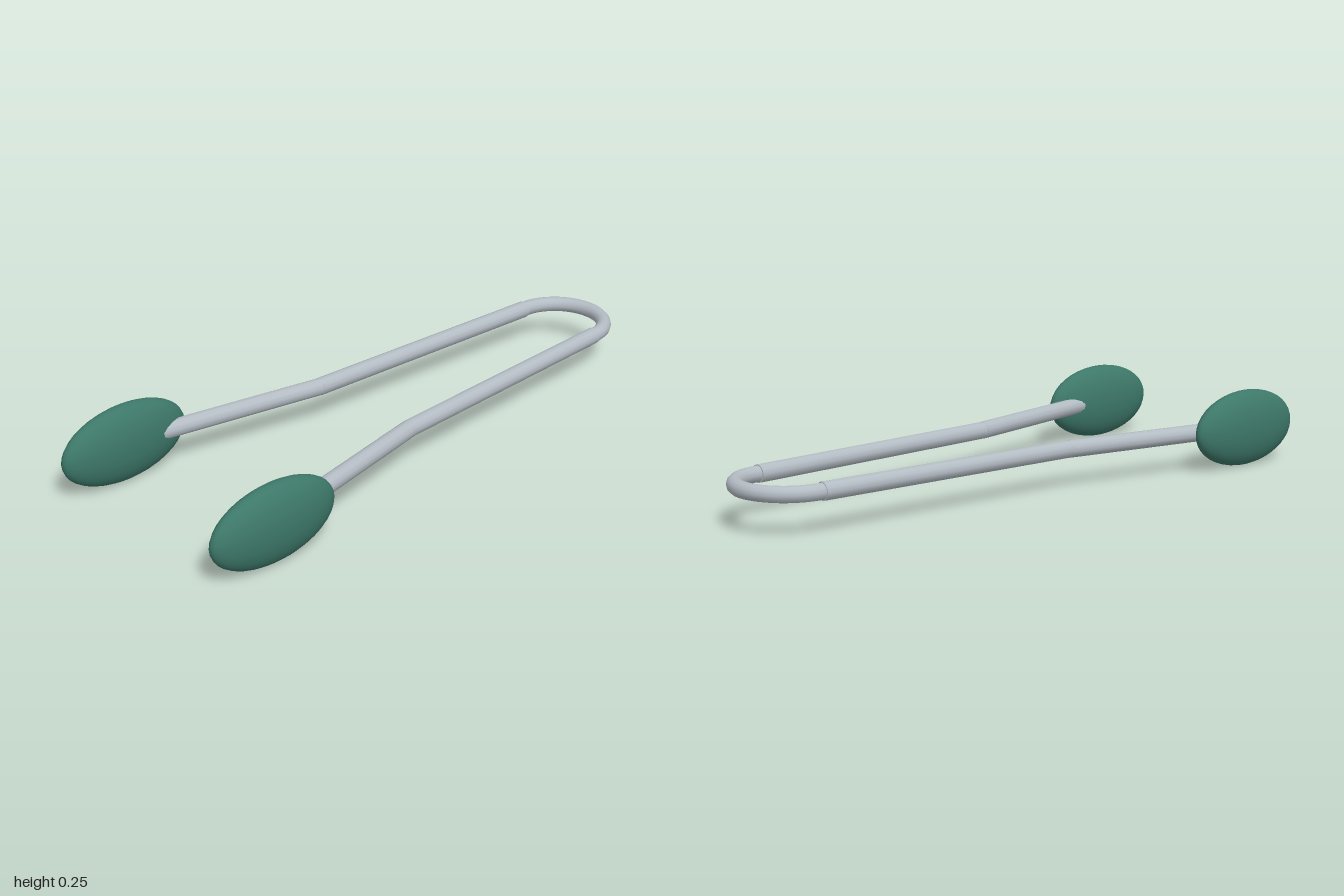
import * as THREE from 'three';

export function createModel() {
  const steel = new THREE.MeshStandardMaterial({ color: 0xb4bcc4 });
  steel.name = 'steel';
  const green = new THREE.MeshStandardMaterial({ color: 0x3d7869 });
  green.name = 'green';
  const group = new THREE.Group();
  group.name = 'tongs';
  const H = 0.124, BEND_X = 0.82, BEND_R = 0.155;

  const add = (name, geometry, material) => {
    const mesh = new THREE.Mesh(geometry, material);
    mesh.name = name;
    group.add(mesh);
    return mesh;
  };

  // Straight round rod between two points
  const rod = (name, a, b) => {
    const dir = b.clone().sub(a);
    const mesh = add(name, new THREE.CylinderGeometry(0.028, 0.028, dir.length(), 12), steel);
    mesh.position.copy(a).add(b).multiplyScalar(0.5);
    mesh.quaternion.setFromUnitVectors(new THREE.Vector3(0, 1, 0), dir.normalize());
  };

  // U-shaped spring bend joining the arms
  const bend = add('springBend', new THREE.TorusGeometry(BEND_R, 0.025, 12, 32, Math.PI), steel);
  bend.geometry.rotateZ(-Math.PI / 2).rotateX(Math.PI / 2);
  bend.position.set(BEND_X, H, 0);

  for (const [side, s] of [['front', 1], ['back', -1]]) {
    const root = new THREE.Vector3(BEND_X, H, s * BEND_R);
    const knee = new THREE.Vector3(-0.1, H, s * 0.202);
    const tip = new THREE.Vector3(-0.77, H, s * 0.335);
    rod(side + 'UpperArm', root, knee);
    rod(side + 'LowerArm', knee, tip);

    // Fills the gap at the kink
    add(side + 'Knee', new THREE.SphereGeometry(0.0275, 12, 8), steel).position.copy(knee);

    // Flattened oval gripping pad
    const pad = add(side + 'Pad', new THREE.SphereGeometry(1, 32, 20), green);
    pad.scale.set(0.227, 0.124, 0.06);
    pad.position.set(-0.773, H, s * 0.337);
  }
  return group;
}
